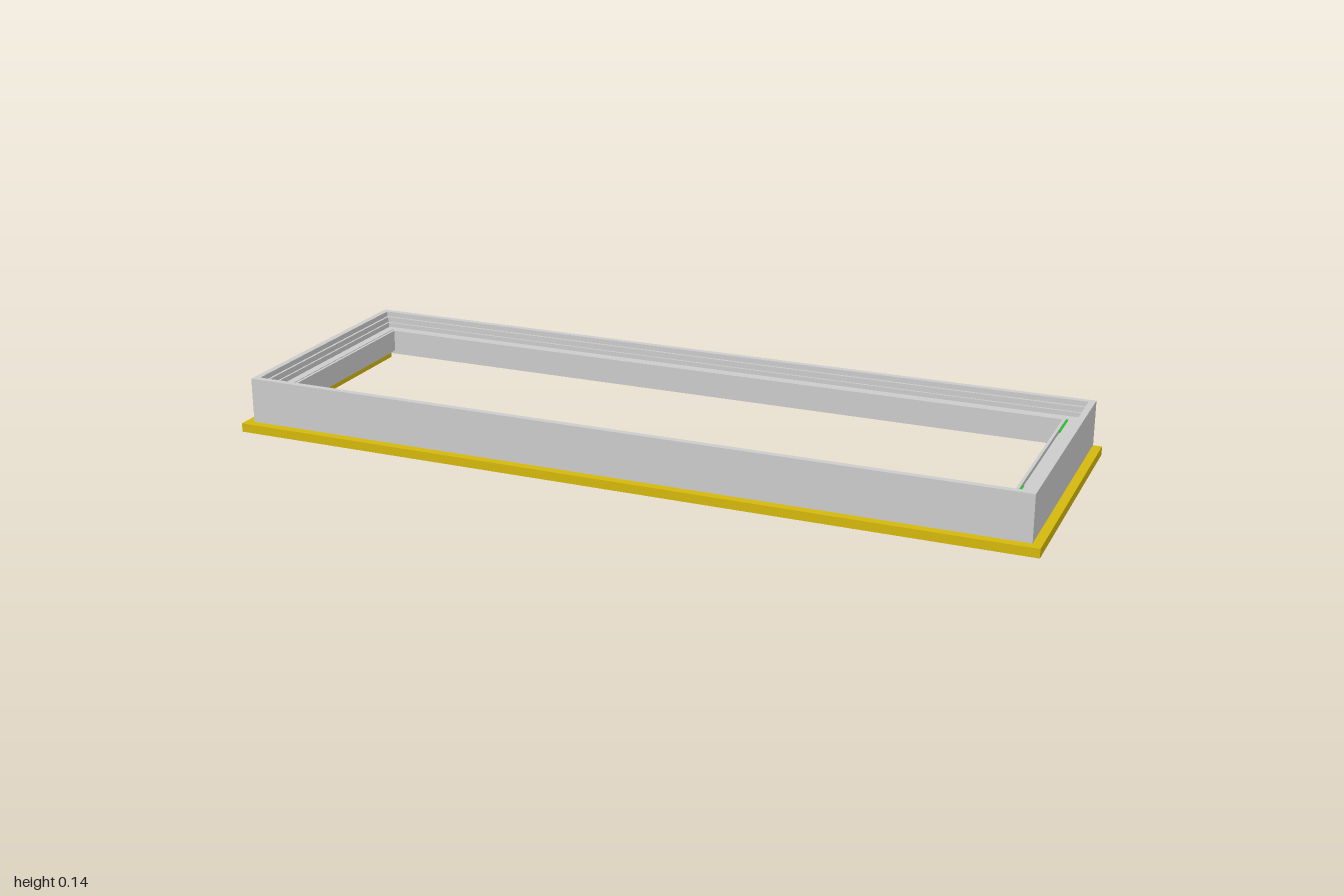
import * as THREE from 'three';

const X = 0.977, FRONT = 0.312, BACK = -0.333;

// Sweeps a [inset, height] profile round the rectangle with mitred corners.
// The open version runs along the left, front and right only, with capped ends.
function sweep(profile, closed) {
  const back = (d) => (closed ? BACK + d : BACK + 0.002);
  const corners = [
    ([d, y]) => [-X + d, y, back(d)],
    ([d, y]) => [-X + d, y, FRONT - d],
    ([d, y]) => [X - d, y, FRONT - d],
    ([d, y]) => [X - d, y, back(d)],
  ];
  const pos = [];
  for (let k = 0; k < (closed ? 4 : 3); k++) {
    const A = corners[k], B = corners[(k + 1) % 4];
    profile.forEach((p, i) => {
      const q = profile[(i + 1) % profile.length];
      pos.push(...A(p), ...B(p), ...B(q), ...A(p), ...B(q), ...A(q));
    });
  }
  if (!closed) {
    const tris = THREE.ShapeUtils.triangulateShape(profile.map((p) => new THREE.Vector2(...p)), []);
    for (const c of [corners[0], corners[3]]) {
      for (const t of tris) for (const i of t) pos.push(...c(profile[i]));
    }
  }
  const g = new THREE.BufferGeometry();
  g.setAttribute('position', new THREE.Float32BufferAttribute(pos, 3));
  g.computeVertexNormals();
  return g;
}

export function createModel() {
  const model = new THREE.Group();
  const add = (name, geometry, color, parent = model) => {
    const material = new THREE.MeshStandardMaterial({ color, side: THREE.DoubleSide });
    const mesh = new THREE.Mesh(geometry, material);
    mesh.name = name;
    parent.add(mesh);
    return mesh;
  };

  // Main frame: tall outer wall, stepped and grooved inside, with an inner lip
  add('frame', sweep([
    [0, 0.022], [0, 0.135], [0.016, 0.135], [0.016, 0.122], [0.022, 0.122], [0.022, 0.108],
    [0.027, 0.108], [0.027, 0.092], [0.031, 0.092], [0.031, 0.098], [0.052, 0.098],
    [0.052, 0.09], [0.058, 0.09], [0.058, 0.1], [0.065, 0.1],
    [0.065, 0.045], [0.048, 0.045], [0.048, 0.033], [0.03, 0.033], [0.03, 0.022],
  ], true), 0xcccccc);

  // Yellow edging strip under the left, front and right sides, grooved below
  add('edgingStrip', sweep([
    [-0.022, 0], [-0.022, 0.022], [0.014, 0.022], [0.014, 0],
    [0.004, 0], [0.004, 0.008], [-0.007, 0.008], [-0.007, 0],
  ], false), 0xd4b80c);

  // Green L-shaped keys lying in the lip groove at each inner corner
  const keys = new THREE.Group();
  keys.name = 'cornerKeys';
  model.add(keys);
  const inset = 0.055, len = 0.08, t = 0.006;
  for (const sx of [-1, 1]) {
    for (const sz of [-1, 1]) {
      const x = sx * (X - inset), z = sz > 0 ? FRONT - inset : BACK + inset;
      const along = add('keyArm', new THREE.BoxGeometry(len, 0.012, t), 0x18c818, keys);
      along.position.set(x - sx * len / 2, 0.09, z);
      const across = add('keyArm', new THREE.BoxGeometry(t, 0.012, len), 0x18c818, keys);
      across.position.set(x, 0.09, z - sz * len / 2);
    }
  }
  return model;
}
